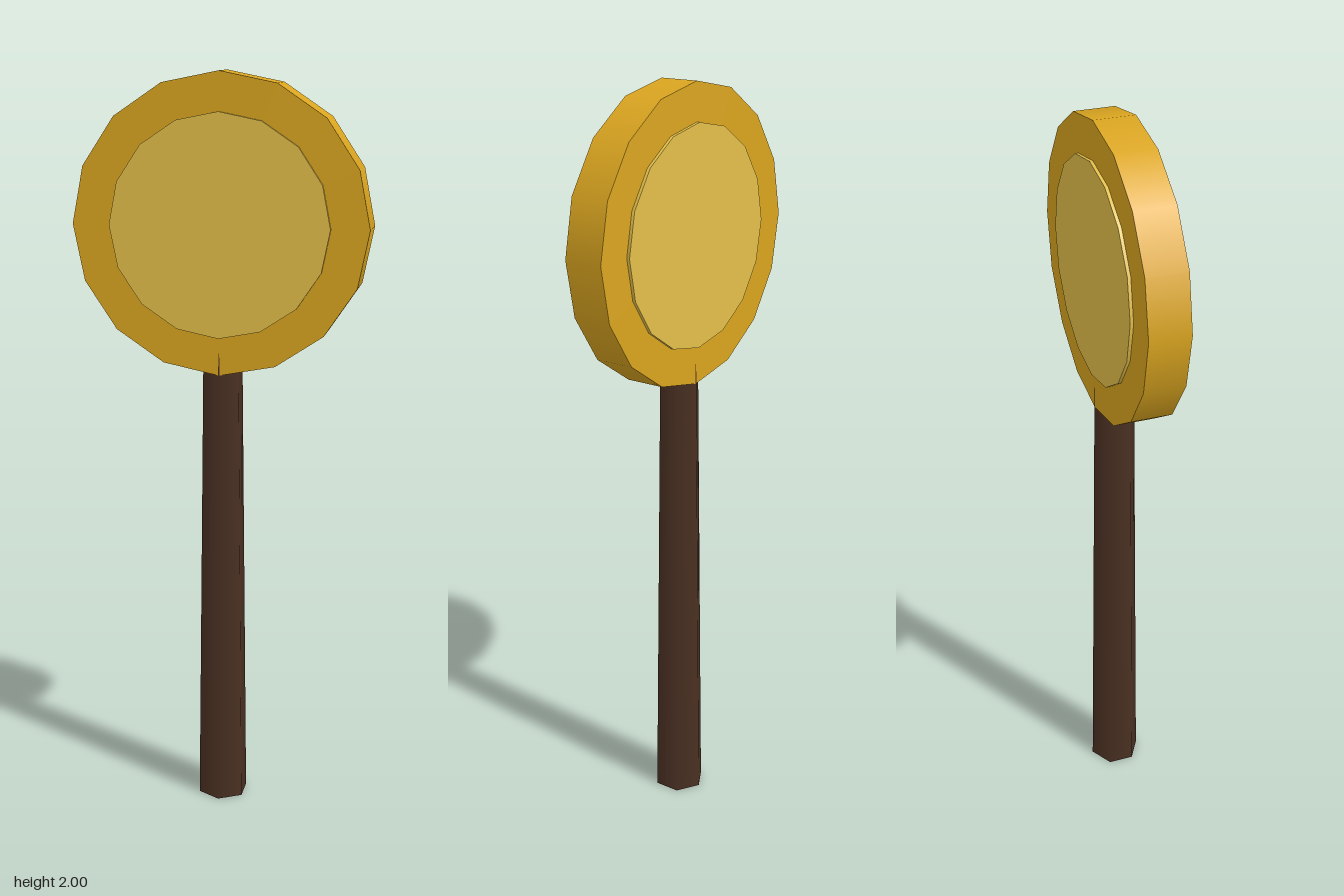
import * as THREE from 'three';

const material = (color) => new THREE.MeshStandardMaterial({ color });

// Upright disc facing +z and -z, with a corner pointing straight up
function disc(name, radius, depth, color) {
  const geometry = new THREE.CylinderGeometry(radius, radius, depth, 16);
  geometry.rotateX(Math.PI / 2);
  const mesh = new THREE.Mesh(geometry, material(color));
  mesh.name = name;
  mesh.position.y = 1.61;
  return mesh;
}

export function createModel() {
  const model = new THREE.Group();
  model.name = 'handMirror';

  // Tapered six-sided handle, its tip just breaking through the rim faces
  const length = 1.28;
  const handle = new THREE.Mesh(
    new THREE.CylinderGeometry(0.0545, 0.07, length, 6),
    material(0x4a3022)
  );
  handle.name = 'handle';
  handle.position.y = length / 2;
  model.add(handle);

  // Gold rim, and a paler plate standing slightly proud on both sides
  model.add(disc('rim', 0.39, 0.108, 0xdaa520));
  model.add(disc('facePlate', 0.29, 0.125, 0xe3bf4a));

  return model;
}
